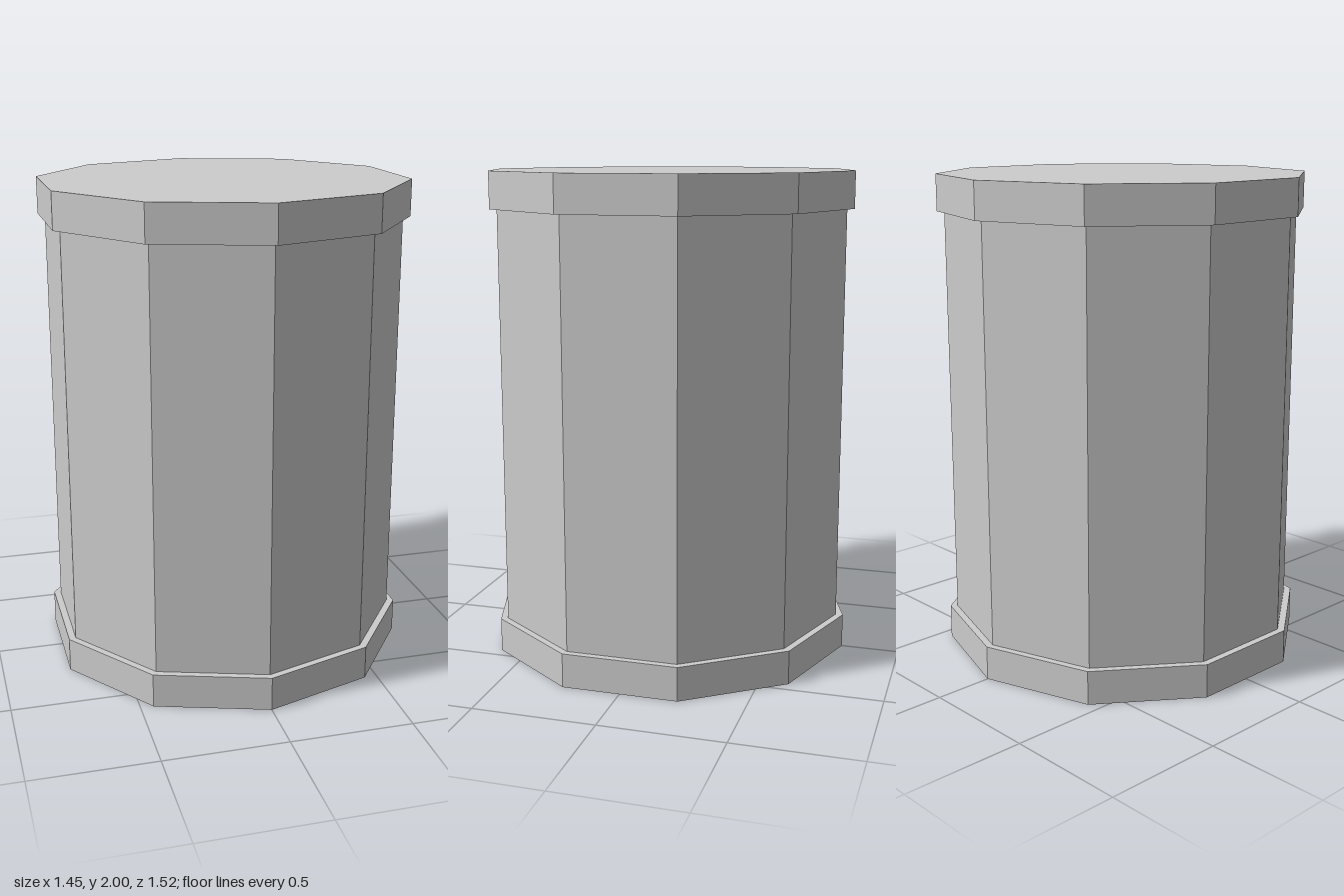
import * as THREE from 'three';

const SIDES = 10;

export function createModel() {
  const group = new THREE.Group();
  group.name = 'drum';

  const grey = new THREE.MeshStandardMaterial({ color: 0xcccccc, flatShading: true });
  grey.name = 'light grey';

  // Ten-sided prism between two heights, with a corner facing the front
  const addPrism = (name, radius, bottom, top, openEnded = false) => {
    const geometry = new THREE.CylinderGeometry(radius, radius, top - bottom, SIDES, 1, openEnded);
    const mesh = new THREE.Mesh(geometry, grey);
    mesh.name = name;
    mesh.position.y = (bottom + top) / 2;
    group.add(mesh);
  };

  // Wider rims at both ends of a plain shaft
  addPrism('bottomRim', 0.762, 0, 0.14);
  addPrism('shaft', 0.732, 0.14, 1.85, true);
  addPrism('topRim', 0.762, 1.85, 2);

  return group;
}
